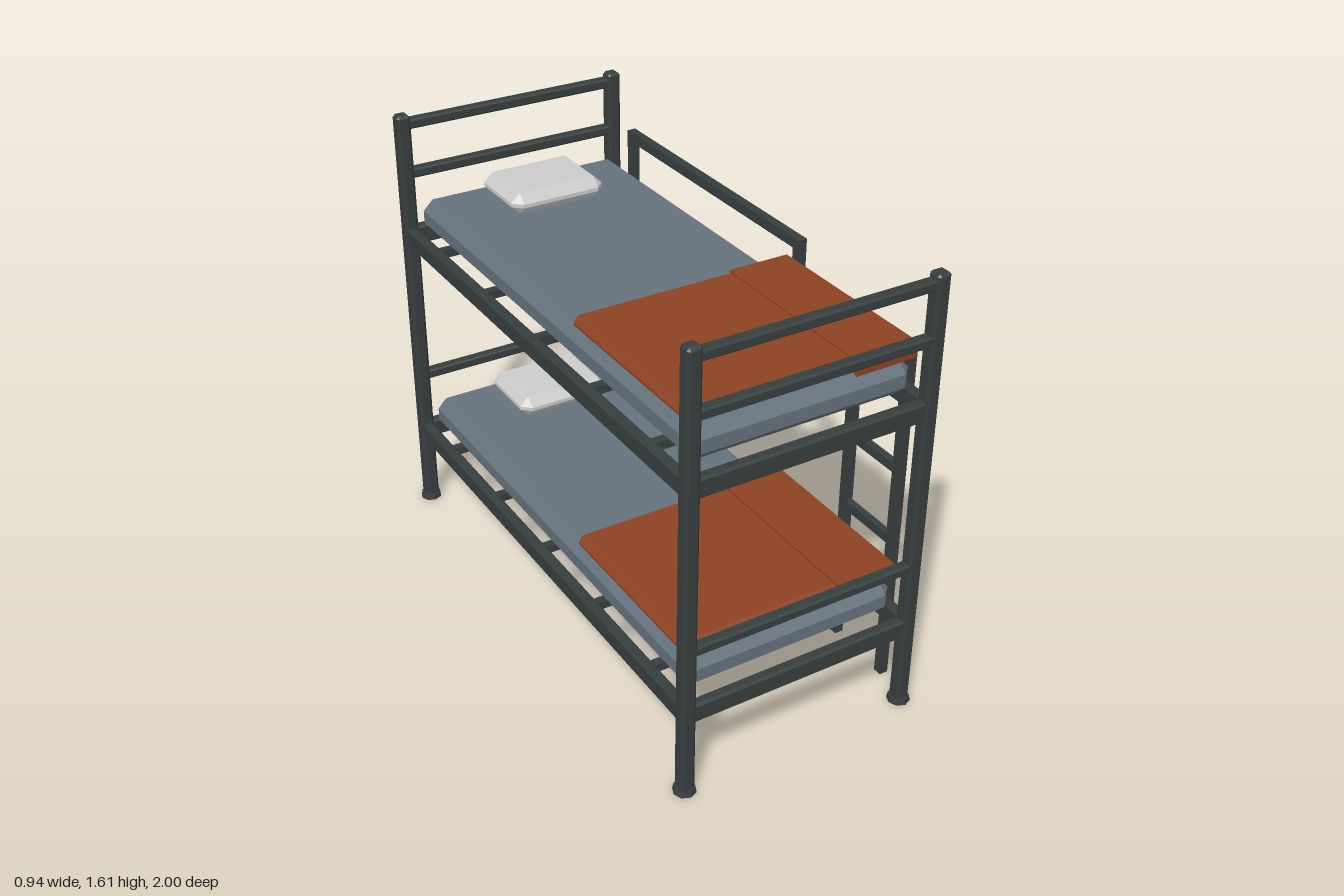
import * as THREE from 'three';
import { ConvexGeometry } from 'three/addons/geometries/ConvexGeometry.js';

const mat = (name, color) => new THREE.MeshStandardMaterial({ name, color, flatShading: true });

// Box with all edges and corners cut off by c
function chamferBox(w, h, d, c) {
  const [a, b, e] = [w / 2, h / 2, d / 2];
  const pts = [];
  for (const x of [-1, 1]) for (const y of [-1, 1]) for (const z of [-1, 1]) {
    pts.push(
      new THREE.Vector3(x * a, y * (b - c), z * (e - c)),
      new THREE.Vector3(x * (a - c), y * b, z * (e - c)),
      new THREE.Vector3(x * (a - c), y * (b - c), z * e));
  }
  return new ConvexGeometry(pts);
}

export function createModel() {
  const steel = mat('dark steel', 0x363e3d);
  const cloth = mat('blue grey', 0x64717c);
  const rust = mat('rust blanket', 0x8c4122);
  const linen = mat('pale linen', 0xcbcbca);

  const model = new THREE.Group();
  model.name = 'bunkBed';

  // Adds a part filling the given ranges; c is the edge chamfer
  function part(name, material, [x0, x1], [y0, y1], [z0, z1], c = 0, parent = model) {
    const size = [x1 - x0, y1 - y0, z1 - z0];
    const geo = c ? chamferBox(...size, c) : new THREE.BoxGeometry(...size);
    const mesh = new THREE.Mesh(geo, material);
    mesh.name = name;
    mesh.position.set((x0 + x1) / 2, (y0 + y1) / 2, (z0 + z1) / 2);
    parent.add(mesh);
    return mesh;
  }

  const around = (centre, half) => [centre - half, centre + half];
  const sides = [-0.432, 0.416];
  const endZ = 0.96;

  // Corner posts with round feet
  for (const x of sides) for (const z of [-endZ, endZ]) {
    part('post', steel, around(x, 0.026), [0, 1.61], around(z, 0.026), 0.01);
    const foot = new THREE.Mesh(new THREE.CylinderGeometry(0.036, 0.04, 0.02, 8), steel);
    foot.name = 'foot';
    foot.position.set(x, 0.01, z);
    model.add(foot);
  }

  // Head and foot end bars
  for (const z of [-endZ, endZ]) for (const y of [0.557, 1.387, 1.573]) {
    part('endBar', steel, sides, around(y, 0.018), around(z, 0.02), 0.006);
  }

  // Two identical bunks
  for (const base of [0.28, 1.11]) {
    const bunk = new THREE.Group();
    bunk.name = base < 1 ? 'lowerBunk' : 'upperBunk';
    bunk.position.y = base;
    model.add(bunk);

    for (const x of sides) {
      part('sideRail', steel, around(x, 0.019), [0, 0.07], [-endZ, endZ], 0.007, bunk);
    }
    for (const z of [-endZ, endZ]) {
      part('endRail', steel, sides, [0, 0.07], around(z, 0.02), 0.007, bunk);
    }
    for (let i = -2; i <= 2; i++) {
      part('slat', steel, sides, [0.035, 0.065], around(i * 0.367, 0.015), 0, bunk);
    }

    part('mattress', cloth, [-0.405, 0.39], [0.07, 0.19], [-0.922, 0.922], 0.037, bunk);
    part('pillow', linen, [-0.187, 0.175], [0.19, 0.27], [-0.862, -0.58], 0.033, bunk);
    part('blanket', rust, [-0.4, 0.2], [0.186, 0.238], [0.21, 0.893], 0.022, bunk);
    part('blanketFold', rust, [0.185, 0.412], [0.18, 0.24], [0.21, 0.898], 0.004, bunk);
  }

  // Guard rail of the upper bunk
  const guardX = [0.408, 0.44];
  part('guardBar', steel, guardX, [1.388, 1.425], [-0.827, 0.277]);
  for (const z of [-0.811, 0.261]) {
    part('guardPost', steel, guardX, [1.215, 1.39], around(z, 0.016));
  }

  // Ladder
  const ladderX = [0.438, 0.47];
  for (const z of [0.557, 0.815]) {
    part('ladderStringer', steel, ladderX, [0, 1.29], around(z, 0.016));
  }
  for (let i = 0; i < 4; i++) {
    const y = 0.277 + i * 0.277;
    part('rung', steel, [0.44, 0.464], around(y, 0.017), [0.557, 0.815]);
    part('rungFace', cloth, [0.464, 0.467], around(y, 0.017), [0.573, 0.799]);
  }

  return model;
}
